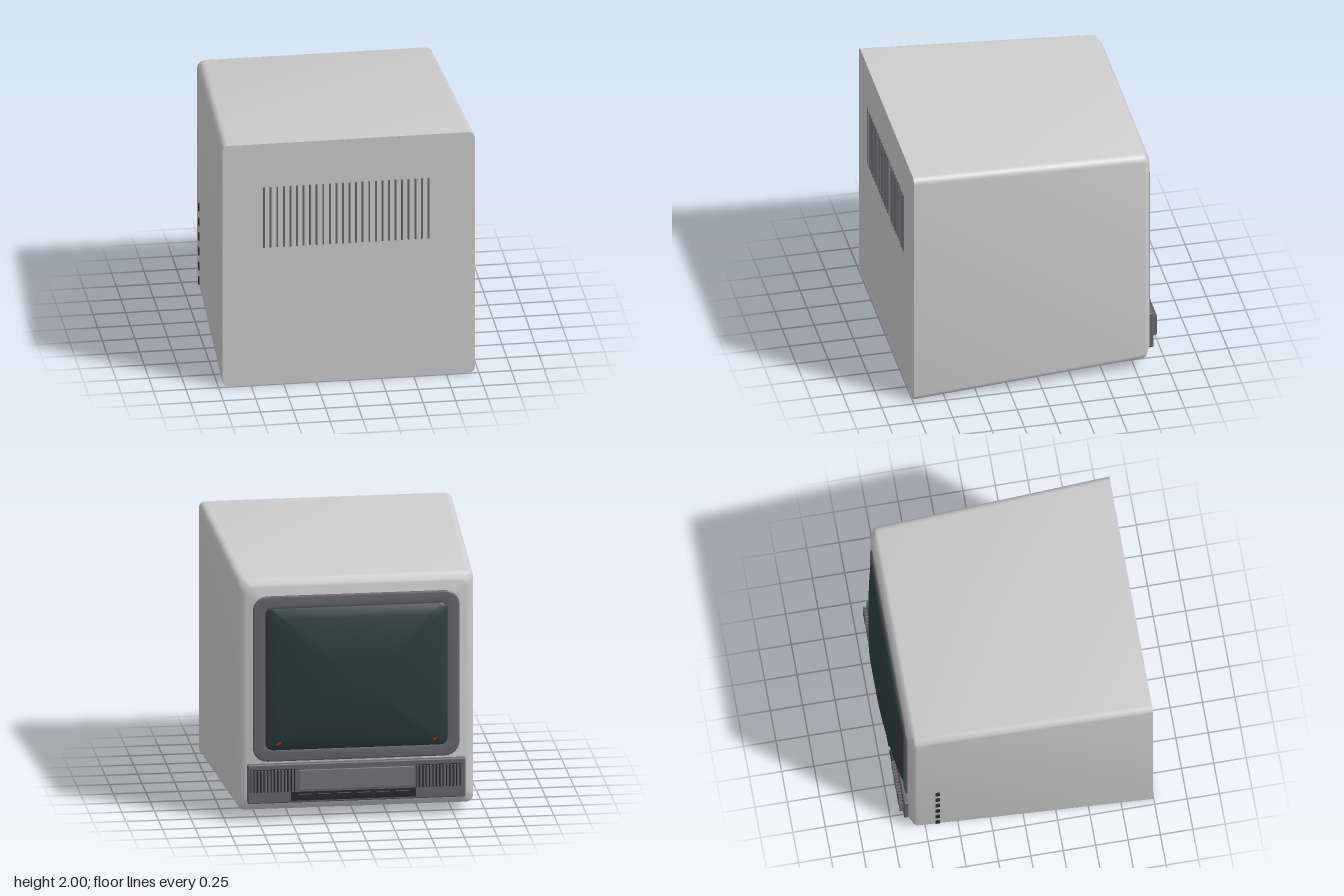
import * as THREE from 'three';
import { toCreasedNormals } from 'three/addons/utils/BufferGeometryUtils.js';
import { RoundedBoxGeometry } from 'three/addons/geometries/RoundedBoxGeometry.js';

const paint = (color) => new THREE.MeshStandardMaterial({ color });
const shell = paint(0xcccccc);
const trim = paint(0x66666c);
const plateGrey = paint(0x74747a);
const dark = paint(0x2b2b2e);
const glass = paint(0x2c3d3d);
const red = paint(0xb02a1a);

// Counter-clockwise outline of a rounded rectangle
function roundedRect(hx, hy, r, n = 6) {
  const pts = [];
  [[1, 1], [-1, 1], [-1, -1], [1, -1]].forEach(([sx, sy], q) => {
    for (let i = 0; i <= n; i++) {
      const a = (q + i / n) * Math.PI / 2;
      pts.push(new THREE.Vector2(sx * (hx - r) + r * Math.cos(a), sy * (hy - r) + r * Math.sin(a)));
    }
  });
  return pts;
}

// Capped loft through rounded rectangles [z, hx, hy, r], from +z towards -z;
// warp(x, y) adds a depth to the sections that ask for it with a fifth entry
function loft(sections, warp = () => 0, crease = 0.6) {
  const pos = [], index = [];
  let n = 0;
  for (const [z, hx, hy, r, warped] of sections) {
    const ring = roundedRect(hx, hy, r);
    n = ring.length;
    for (const p of ring) pos.push(p.x, p.y, z + (warped ? warp(p.x, p.y) : 0));
  }
  const last = sections.length - 1;
  const first = pos.length / 3;
  pos.push(0, 0, sections[0][0], 0, 0, sections[last][0]);
  for (let j = 0; j < n; j++) {
    const k = (j + 1) % n;
    for (let i = 0; i < last; i++) {
      const a = i * n + j, b = i * n + k;
      index.push(a, a + n, b, b, a + n, b + n);
    }
    index.push(first, j, k, first + 1, last * n + k, last * n + j);
  }
  const g = new THREE.BufferGeometry();
  g.setAttribute('position', new THREE.Float32BufferAttribute(pos, 3));
  g.setIndex(index);
  return toCreasedNormals(g, crease);
}

export function createModel() {
  const model = new THREE.Group();
  model.name = 'monitor';

  const add = (name, geometry, material, x, y, z, parent = model) => {
    const mesh = new THREE.Mesh(geometry, material);
    mesh.name = name;
    mesh.position.set(x, y, z);
    parent.add(mesh);
    return mesh;
  };
  const group = (name) => {
    const g = new THREE.Group();
    g.name = name;
    model.add(g);
    return g;
  };

  // Tapered case with a softened rim around the screen side
  add('case', loft([
    [0.992, 0.97, 1.0, 0.05],
    [-0.815, 0.905, 0.92, 0.06],
    [-0.835, 0.898, 0.912, 0.06],
    [-0.865, 0.86, 0.868, 0.06],
    [-0.872, 0.84, 0.85, 0.05],
  ]), shell, 0, 1, 0);

  // Ventilation slots
  const vents = group('ventSlots');
  const slot = new THREE.BoxGeometry(0.014, 0.5, 0.02);
  for (let i = 0; i < 26; i++) add('ventSlot', slot, trim, -0.65 + i * 0.0505, 1.39, 0.99, vents);

  // Frame around the screen
  const frame = new THREE.Shape(roundedRect(0.78, 0.643, 0.1));
  frame.holes.push(new THREE.Path(roundedRect(0.705, 0.57, 0.06).reverse()));
  const frameGeometry = new THREE.ExtrudeGeometry(frame, {
    depth: 0.008, bevelEnabled: true, bevelThickness: 0.01, bevelSize: 0.012, bevelSegments: 3,
  });
  add('screenFrame', toCreasedNormals(frameGeometry, 0.6), trim, 0, 1.125, -0.877);

  // Bulging glass
  const hx = 0.7, hy = 0.565;
  const bulge = (x, y) => 0.065 * (x / hx) ** 2 + 0.045 * (y / hy) ** 2;
  const glassRings = [[-0.86, hx, hy, 0.05], [-0.982, hx, hy, 0.05, true], [-0.995, 0.99 * hx, 0.99 * hy, 0.05, true]];
  for (const s of [0.97, 0.85, 0.7, 0.55, 0.4, 0.25, 0.1, 0.02]) {
    glassRings.push([-1, s * hx, s * hy, 0.05 * s, true]);
  }
  add('screenGlass', loft(glassRings, bulge, 0.7), glass, 0, 1.125, 0);

  // Small red marks in the lower corners of the glass
  for (const x of [-0.6, 0.6]) {
    const mark = add('screenMark', new THREE.BoxGeometry(0.035, 0.014, 0.02), red, x, 0.62, -0.912);
    mark.rotation.z = -0.5;
  }

  // Control panel below the screen
  add('controlPanel', new RoundedBoxGeometry(1.67, 0.31, 0.05, 3, 0.012), trim, 0, 0.3, -0.881);
  add('centrePlate', new RoundedBoxGeometry(0.88, 0.16, 0.02, 2, 0.006), plateGrey, 0, 0.325, -0.902);
  add('buttonStrip', new THREE.BoxGeometry(0.96, 0.07, 0.01), dark, 0.025, 0.197, -0.903);

  // Speaker ribs on both sides of the panel
  const ribs = group('speakerRibs');
  const rib = new THREE.BoxGeometry(0.013, 0.17, 0.035);
  for (const side of [-1, 1]) {
    add('speakerBacking', new THREE.BoxGeometry(0.36, 0.18, 0.006), dark, side * 0.633, 0.325, -0.905, ribs);
    for (let i = 0; i < 14; i++) add('speakerRib', rib, trim, side * (0.465 + i * 0.026), 0.325, -0.919, ribs);
  }

  // Row of push buttons
  const buttons = group('buttons');
  const button = new RoundedBoxGeometry(0.11, 0.045, 0.03, 2, 0.006);
  for (let i = 0; i < 6; i++) add('button', button, dark, 0.4 - i * 0.15, 0.197, -0.911, buttons);

  // Small switches on one flank
  const switches = group('sideSwitches');
  const knob = new THREE.BoxGeometry(0.02, 0.06, 0.035);
  for (let i = 0; i < 6; i++) add('sideSwitch', knob, dark, -0.908, 0.16 + i * 0.122, -0.66, switches);

  return model;
}
